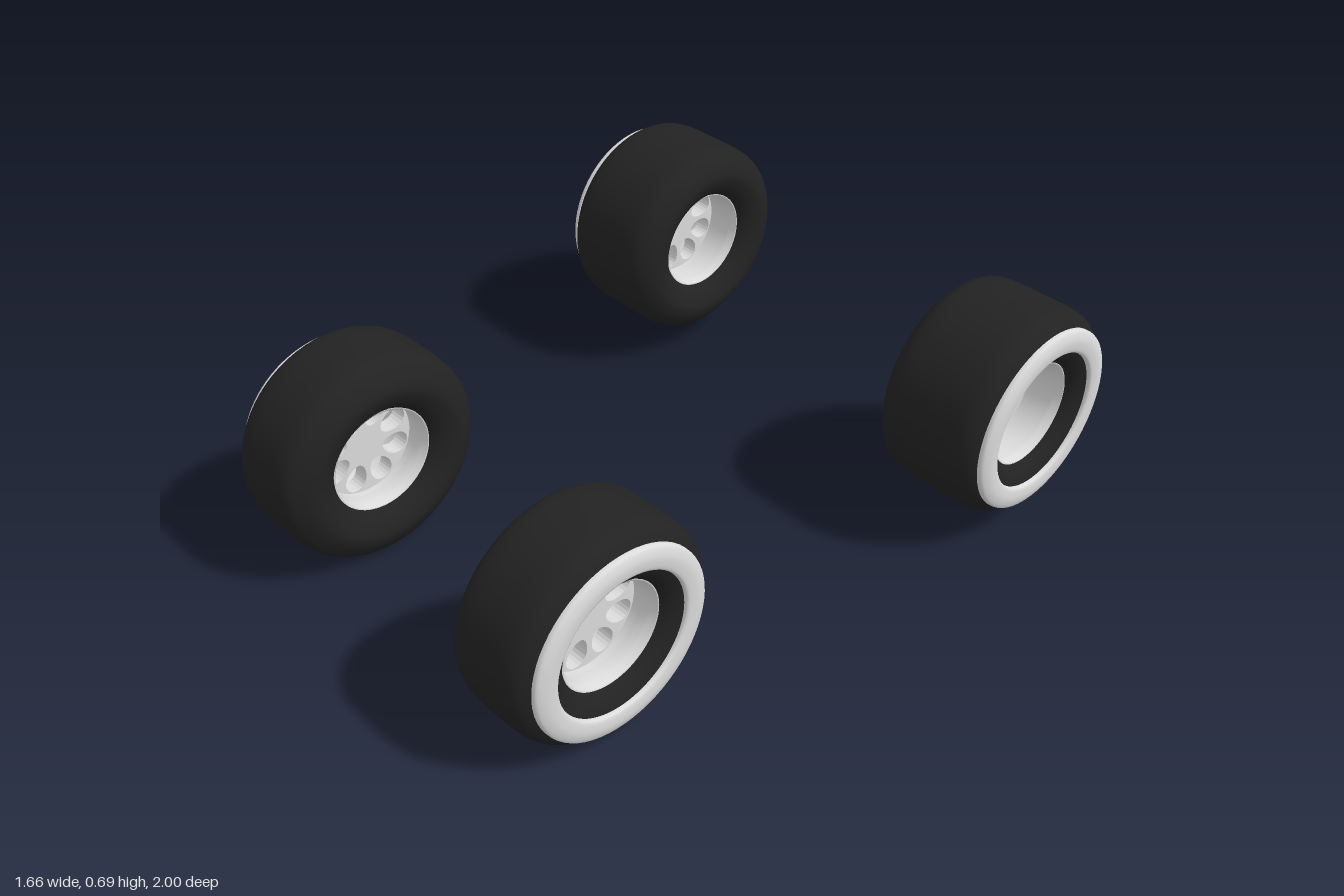
import * as THREE from 'three';

const rubber = new THREE.MeshStandardMaterial({ name: 'black rubber', color: 0x222222 });
const white = new THREE.MeshStandardMaterial({ name: 'whitewall', color: 0xdcdcdc, side: THREE.DoubleSide });
const alloy = new THREE.MeshStandardMaterial({ name: 'pale alloy', color: 0xdcdcdc, side: THREE.DoubleSide });

// Sidewall from bead to crown: [inset from the widest point, radius]
const SIDE = [[0.048, 0.154], [0.024, 0.172], [0.008, 0.198], [0, 0.226], [0.004, 0.25],
  [0.016, 0.273], [0.038, 0.296], [0.075, 0.308]];

function add(group, name, geometry, material) {
  const mesh = new THREE.Mesh(geometry, material);
  mesh.name = name;
  group.add(mesh);
  return mesh;
}

// Lathe turned so that its axis runs along x; points are [x, radius]
function lathe(points, smooth = 0) {
  let pts = points.map(([x, r]) => new THREE.Vector2(r, x));
  if (smooth) pts = new THREE.SplineCurve(pts).getPoints(smooth);
  return new THREE.LatheGeometry(pts, 64).rotateZ(-Math.PI / 2);
}

// Disc with eight oval openings that leave flared spokes between them
function spokeGeometry() {
  const disc = new THREE.Shape().absarc(0, 0, 0.153, 0, Math.PI * 2);
  for (let i = 0; i < 8; i++) {
    const a = (i + 0.5) * Math.PI / 4;
    const hole = [];
    for (let k = 0; k < 24; k++) {
      const t = k / 24 * Math.PI * 2;
      const u = 0.104 + 0.042 * Math.cos(t);
      const v = (0.033 + 0.006 * Math.cos(t)) * Math.sin(t);
      hole.push(new THREE.Vector2(u * Math.cos(a) - v * Math.sin(a), u * Math.sin(a) + v * Math.cos(a)));
    }
    disc.holes.push(new THREE.Path(hole));
  }
  return new THREE.ExtrudeGeometry(disc, { depth: 0.05, bevelEnabled: false, curveSegments: 48 })
    .translate(0, 0, -0.025).rotateY(Math.PI / 2);
}

// Wheel whose outer face looks along +x
function makeWheel(name, half, radius) {
  const wheel = new THREE.Group();
  wheel.name = name;
  const k = radius - 0.31;
  const side = SIDE.map(([d, r]) => [half - d, r + (r > 0.28 ? k : 0)]);
  const inner = side.map(([x, r]) => [-x, r]);

  add(wheel, 'tire', lathe([...inner, [0, radius], ...side.slice().reverse()], 72), rubber);

  // Raised white band on the outer sidewall
  const band = [[half - 0.012, 0.274], [half + 0.001, 0.271], [half + 0.009, 0.25],
    [half + 0.01, 0.23], [half + 0.006, 0.209], [half - 0.008, 0.206]];
  add(wheel, 'whitewall', lathe(band, 16), white);

  // Stepped barrel seen from both sides
  const lip = half - 0.042;
  const barrel = [[lip, 0.157], [lip, 0.152], [lip - 0.025, 0.15], [lip - 0.027, 0.147],
    [0.05, 0.147], [0.045, 0.15]];
  const mirrored = barrel.map(([x, r]) => [-x, r]).reverse();
  add(wheel, 'rimBarrel', lathe([...barrel, ...mirrored]), alloy);
  add(wheel, 'spokes', spokeGeometry(), alloy);
  return wheel;
}

export function createModel() {
  const model = new THREE.Group();
  model.name = 'wheelSet';
  const axles = [
    { name: 'front', x: 0.465, y: 0.315, z: 0.685, half: 0.15, radius: 0.315 },
    { name: 'rear', x: 0.642, y: 0.38, z: -0.69, half: 0.178, radius: 0.31 },
  ];
  for (const a of axles) {
    for (const s of [1, -1]) {
      const wheel = makeWheel(a.name + (s > 0 ? 'LeftWheel' : 'RightWheel'), a.half, a.radius);
      wheel.position.set(s * a.x, a.y, a.z);
      if (s < 0) wheel.rotation.y = Math.PI;
      model.add(wheel);
    }
  }
  return model;
}
